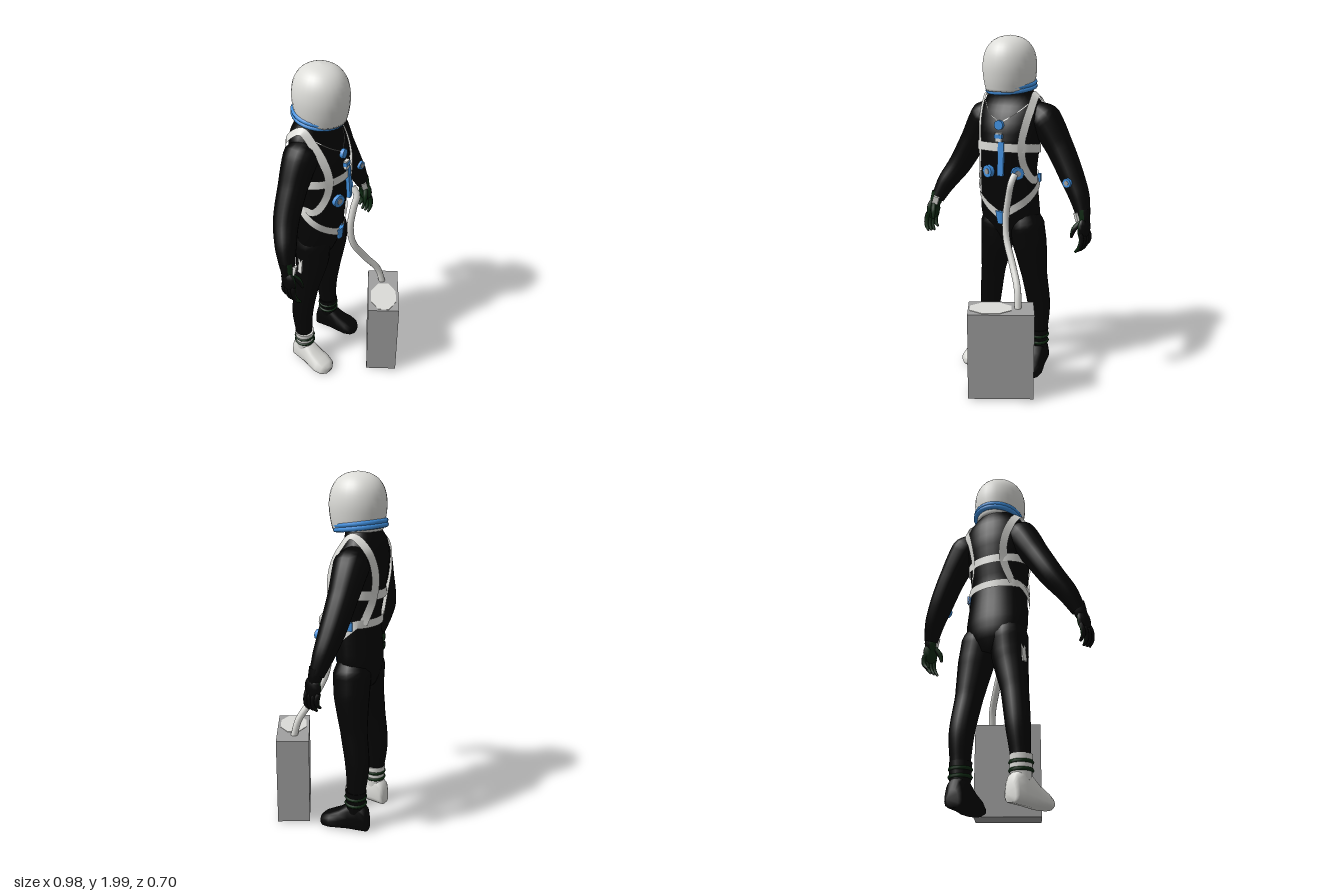
import * as THREE from 'three';
import { mergeGeometries, mergeVertices } from 'three/addons/utils/BufferGeometryUtils.js';

const V = (x, y, z) => new THREE.Vector3(x, y, z);
const mat = (name, color) => {
  const m = new THREE.MeshStandardMaterial({ color, side: THREE.DoubleSide });
  m.name = name;
  return m;
};

// Closed skin over rings of equal point count
function loft(rings) {
  const n = rings[0].length, pos = [], idx = [];
  rings.forEach(r => r.forEach(p => pos.push(p.x, p.y, p.z)));
  for (let i = 0; i < rings.length - 1; i++) for (let j = 0; j < n; j++) {
    const a = i * n + j, b = i * n + (j + 1) % n;
    idx.push(a, b, b + n, a, b + n, a + n);
  }
  const top = (rings.length - 1) * n;
  for (let j = 1; j < n - 1; j++) idx.push(0, j + 1, j, top, top + j, top + j + 1);
  const g = new THREE.BufferGeometry();
  g.setAttribute('position', new THREE.Float32BufferAttribute(pos, 3));
  g.setIndex(idx);
  g.computeVertexNormals();
  return g;
}

// Tube along [x, y, z, radius] points with changing radius
function limb(pts, sides = 14, steps = 24) {
  const curve = new THREE.CatmullRomCurve3(pts.map(p => V(p[0], p[1], p[2])));
  let g = new THREE.TubeGeometry(curve, steps, 1, sides);
  const pos = g.attributes.position, v = V();
  for (let i = 0; i <= steps; i++) {
    const c = curve.getPointAt(i / steps);
    const t = curve.getUtoTmapping(i / steps) * (pts.length - 1);
    const k = Math.min(Math.floor(t), pts.length - 2);
    const r = THREE.MathUtils.lerp(pts[k][3], pts[k + 1][3], t - k);
    for (let j = 0; j <= sides; j++) {
      const id = i * (sides + 1) + j;
      v.fromBufferAttribute(pos, id).sub(c).multiplyScalar(r).add(c);
      pos.setXYZ(id, v.x, v.y, v.z);
    }
  }
  g.deleteAttribute('uv');
  g.deleteAttribute('normal');
  g = mergeVertices(g, 1e-5);
  g.computeVertexNormals();
  return g;
}

// Sort triangles into two material groups by facing direction
function twoTone(geo, dir) {
  const p = geo.attributes.position, ix = geo.index.array, sets = [[], []];
  const tri = new THREE.Triangle(), n = V();
  for (let i = 0; i < ix.length; i += 3) {
    tri.setFromAttributeAndIndices(p, ix[i], ix[i + 1], ix[i + 2]);
    sets[tri.getNormal(n).dot(dir) > 0 ? 0 : 1].push(ix[i], ix[i + 1], ix[i + 2]);
  }
  geo.setIndex([...sets[0], ...sets[1]]);
  geo.addGroup(0, sets[0].length, 0);
  geo.addGroup(sets[0].length, sets[1].length, 1);
  return geo;
}

// Torso sections: y, half width, half depth, centre z
const TORSO = [
  [0.84, 0.1, 0.08, -0.01], [0.92, 0.168, 0.112, -0.01], [1.0, 0.184, 0.122, -0.005], [1.15, 0.174, 0.125, 0.01],
  [1.25, 0.167, 0.13, 0.02], [1.4, 0.18, 0.15, 0.015], [1.5, 0.195, 0.147, 0], [1.58, 0.195, 0.13, -0.015],
  [1.64, 0.172, 0.108, -0.03], [1.69, 0.13, 0.095, -0.02], [1.74, 0.1, 0.09, 0],
];
function section(y) {
  let k = 0;
  while (k < TORSO.length - 2 && y > TORSO[k + 1][0]) k++;
  const t = (y - TORSO[k][0]) / (TORSO[k + 1][0] - TORSO[k][0]);
  return TORSO[k].map((v, i) => THREE.MathUtils.lerp(v, TORSO[k + 1][i], t));
}
function onTorso(a, y, off = 0) {
  const [, rx, rz, cz] = section(y);
  return V((rx + off) * Math.sin(a), y, cz + (rz + off) * Math.cos(a));
}

// Flat strap lying on the torso
function ribbon(pts, width, closed = false) {
  const curve = new THREE.CatmullRomCurve3(pts, closed), n = 60, pos = [], idx = [];
  for (let i = 0; i <= n; i++) {
    const p = curve.getPoint(i / n), t = curve.getTangent(i / n);
    const out = p.clone().sub(V(0, Math.min(p.y, 1.45), 0)).normalize();
    const side = out.cross(t).normalize().multiplyScalar(width / 2);
    pos.push(...p.clone().add(side).toArray(), ...p.clone().sub(side).toArray());
    if (i < n) idx.push(2 * i, 2 * i + 1, 2 * i + 2, 2 * i + 1, 2 * i + 3, 2 * i + 2);
  }
  const g = new THREE.BufferGeometry();
  g.setAttribute('position', new THREE.Float32BufferAttribute(pos, 3));
  g.setIndex(idx.reverse());
  g.computeVertexNormals();
  return g;
}

export function createModel() {
  const black = mat('suit black', 0x040404), white = mat('off white', 0xdcdcd8), blue = mat('fitting blue', 0x3f8fde);
  const green = mat('dark green', 0x0c2810), grey = mat('case grey', 0xa0a0a0);
  const model = new THREE.Group();
  const add = (name, geo, m, parent = model, at = null) => {
    const mesh = new THREE.Mesh(geo, m);
    mesh.name = name;
    if (at) mesh.position.set(...at);
    parent.add(mesh);
    return mesh;
  };

  // Torso and harness, turned slightly toward the left
  const body = new THREE.Group();
  body.name = 'torso';
  body.position.set(-0.02, 0, -0.16);
  body.rotation.y = 0.28;
  model.add(body);
  const angles = Array.from({ length: 28 }, (_, i) => i / 28 * Math.PI * 2);
  const rings = Array.from({ length: 31 }, (_, i) => 0.84 + 0.03 * i);
  add('suitTorso', loft(rings.map(y => angles.map(a => onTorso(a, y)))), black, body);
  add('chestStrap', ribbon(angles.map(a => onTorso(a, 1.385 + 0.015 * Math.cos(a), 0.008)), 0.05, true), white, body);
  add('hipStrap', ribbon(angles.map(a =>
    onTorso(a, 0.995 + 0.225 * Math.min(1, Math.min(a, Math.PI * 2 - a) / 2), 0.01)), 0.046, true), white, body);
  for (const s of [-1, 1]) {
    const path = [[1.85, 1.21, 0.01], [1.25, 1.21, 0.01], [0.85, 1.3, 0.01], [0.73, 1.42, 0.01], [0.76, 1.53, 0.01],
      [0.92, 1.62, 0.012], [1.5, 1.685, 0.022], [2.2, 1.62, 0.014], [2.55, 1.5, 0.01], [2.6, 1.36, 0.01], [2.3, 1.22, 0.01]];
    add('shoulderStrap', ribbon(path.map(([a, y, o]) => onTorso(s * a, y, o)), 0.046), white, body);
    add('neckCord', ribbon([[0, 1.53], [0.4, 1.58], [0.9, 1.64]].map(([a, y]) => onTorso(s * a, y, 0.008)), 0.005), white, body);
  }

  // Chest and flank fittings
  const fit = (name, geo, m, a, y, off) => {
    const mesh = add(name, geo, m, body);
    mesh.position.copy(onTorso(a, y, off));
    mesh.rotation.y = a;
    return mesh;
  };
  const disc = (r, h) => new THREE.CylinderGeometry(r, r, h, 8).rotateX(Math.PI / 2);
  for (const a of [-0.37, 0.65]) {
    fit('hoseSocket', disc(0.037, 0.026), blue, a, 1.255, 0.01);
    fit('socketCentre', disc(0.017, 0.034), grey, a, 1.255, 0.01);
  }
  fit('flankBuckle', new THREE.BoxGeometry(0.03, 0.045, 0.02), blue, 1.8, 1.21, 0.012);
  fit('zipPull', new THREE.BoxGeometry(0.034, 0.19, 0.02), blue, 0.12, 1.335, 0.012).rotation.x = -0.06;
  fit('medallion', disc(0.028, 0.02), blue, 0, 1.52, 0.01);
  fit('pendantClip', new THREE.BoxGeometry(0.036, 0.05, 0.018), white, 0.03, 1.455, 0.01);
  fit('pendantBar', new THREE.BoxGeometry(0.044, 0.022, 0.022), blue, 0.03, 1.46, 0.012);
  fit('crotchBuckle', new THREE.CylinderGeometry(0.04, 0.026, 0.074, 6).scale(1, 1, 0.5), blue, 0.03, 0.985, 0.01);

  // Helmet and neck ring
  const profile = [[0.128, 1.7], [0.141, 1.76], [0.147, 1.835], [0.136, 1.905], [0.106, 1.957], [0.06, 1.988], [0, 2]];
  const dome = new THREE.SplineCurve(profile.map(p => new THREE.Vector2(...p))).getPoints(20);
  const helmet = add('helmet', new THREE.LatheGeometry([new THREE.Vector2(0, 1.7), ...dome], 28), white, model, [-0.014, 0, -0.143]);
  helmet.scale.z = 1.08;
  const collar = new THREE.Group();
  collar.name = 'neckRing';
  collar.position.set(-0.016, 1.724, -0.16);
  collar.rotation.x = 0.14;
  model.add(collar);
  for (const y of [-0.011, 0.011]) {
    add('ringBand', new THREE.TorusGeometry(0.131, 0.014, 8, 28).rotateX(Math.PI / 2).scale(1, 1, 1.04), blue, collar, [0, y, 0]);
  }

  // Arms and gloves
  const arms = {
    right: [[-0.1, 1.61, -0.14, 0.04], [-0.175, 1.545, -0.13, 0.098], [-0.265, 1.4, -0.11, 0.08], [-0.355, 1.24, -0.075, 0.07],
      [-0.415, 1.13, -0.02, 0.058], [-0.45, 1.03, 0.025, 0.04]],
    left: [[0.08, 1.61, -0.22, 0.04], [0.155, 1.545, -0.243, 0.098], [0.25, 1.4, -0.265, 0.08], [0.34, 1.24, -0.272, 0.07],
      [0.4, 1.13, -0.268, 0.058], [0.44, 1.03, -0.255, 0.04]],
  };
  for (const [side, s, swing] of [['right', -1, -0.15], ['left', 1, 0]]) {
    add(side + 'Arm', limb(arms[side], 16, 30), black);
    const parts = [limb([[0, 0.04, 0, 0.038], [s * 0.008, -0.02, 0.005, 0.036], [s * 0.012, -0.09, 0.012, 0.014]], 10, 8)];
    parts.push(mergeVertices(new THREE.SphereGeometry(1, 12, 8).deleteAttribute('uv').scale(0.028, 0.064, 0.05).translate(s * 0.016, -0.065, 0.012)));
    for (let f = 0; f < 4; f++) {
      const z = -0.026 + f * 0.025, l = f === 0 ? 0.055 : 0.078;
      parts.push(limb([[s * 0.018, -0.09, z, 0.014], [s * 0.028, -0.12, z, 0.014],
        [s * 0.02, -0.12 - l * 0.6, z + 0.006, 0.013], [-s * 0.006, -0.12 - l, z + 0.008, 0.007]], 8, 8));
    }
    parts.push(limb([[0, -0.03, 0.028, 0.015], [-s * 0.024, -0.07, 0.05, 0.016], [-s * 0.038, -0.12, 0.056, 0.008]], 8, 8));
    parts.forEach(g => g.computeVertexNormals());
    const wrist = arms[side][5];
    const glove = twoTone(mergeGeometries(parts), V(-s, 0, 0.35));
    add(side + 'Glove', glove, [green, black], model, wrist.slice(0, 3)).rotation.x = swing;
    const tag = add(side + 'CuffTag', new THREE.BoxGeometry(0.035, 0.05, 0.02), white, model,
      [wrist[0] - s * 0.018, wrist[1] - 0.003, wrist[2] + 0.032]);
    tag.rotation.set(0.2, -s * 0.5, s * 0.4);
  }
  const gauge = add('wristGauge', disc(0.027, 0.025), blue, model, [0.362, 1.215, -0.203]);
  gauge.rotation.y = 0.1;
  add('gaugeFace', disc(0.014, 0.03), grey, gauge);

  // Legs, ankle bands and boots
  const legs = {
    right: [[-0.095, 1.02, -0.15, 0.07], [-0.1, 0.93, -0.15, 0.106], [-0.108, 0.8, -0.148, 0.1], [-0.153, 0.6, -0.16, 0.074],
      [-0.185, 0.4, -0.17, 0.065], [-0.192, 0.25, -0.16, 0.052], [-0.192, 0.14, -0.155, 0.048]],
    left: [[0.07, 1.02, -0.18, 0.07], [0.08, 0.93, -0.19, 0.108], [0.1, 0.8, -0.205, 0.1], [0.115, 0.6, -0.235, 0.076],
      [0.125, 0.4, -0.27, 0.068], [0.13, 0.25, -0.268, 0.054], [0.13, 0.14, -0.265, 0.048]],
  };
  const stations = [[-0.078, 0.032, 0.09], [-0.066, 0.048, 0.14], [-0.02, 0.055, 0.18], [0.035, 0.057, 0.16], [0.09, 0.064, 0.115],
    [0.145, 0.07, 0.085], [0.185, 0.06, 0.065], [0.207, 0.03, 0.045]];
  const soft = v => Math.sign(v) * Math.pow(Math.abs(v), 0.7);
  const bootGeo = loft(stations.map(([z, w, h]) => Array.from({ length: 16 }, (_, i) => {
    const t = i / 16 * Math.PI * 2, up = soft(Math.sin(t));
    return V(w * soft(Math.cos(t)) * (1 - 0.18 * up), 0.007 + h / 2 * (1 + up), z);
  })));
  for (const [side, m, turn] of [['right', white, 0.05], ['left', black, 0.36]]) {
    add(side + 'Leg', limb(legs[side], 16, 36), black);
    const boot = new THREE.Group(), ankle = legs[side][6];
    boot.name = side + 'Boot';
    boot.position.set(ankle[0], 0, ankle[2]);
    boot.rotation.y = turn;
    model.add(boot);
    add('foot', bootGeo, m, boot);
    add('ankleCuff', new THREE.CylinderGeometry(0.06, 0.053, 0.13, 16), m, boot, [0, 0.185, 0]);
    for (const y of [0.172, 0.212]) {
      add('ankleBand', new THREE.TorusGeometry(0.055, 0.01, 6, 18).rotateX(Math.PI / 2), green, boot, [0, y, 0]);
    }
  }
  add('thighTag', new THREE.BoxGeometry(0.008, 0.1, 0.03), white, model, [-0.206, 0.8, -0.148]).rotation.z = -0.15;

  // Carried air unit with hose
  const unit = new THREE.Group();
  unit.name = 'airUnit';
  unit.position.set(0.198, 0, 0.156);
  unit.rotation.y = 0.735;
  model.add(unit);
  add('case', new THREE.BoxGeometry(0.368, 0.512, 0.186), grey, unit, [0, 0.278, 0]);
  add('topPlate', new THREE.CylinderGeometry(1, 1, 0.004, 8).rotateY(Math.PI / 8).scale(0.125, 1, 0.082), white, unit, [-0.058, 0.535, 0.001]);
  add('hose', limb([[0.265, 0.52, 0.09, 0.02], [0.242, 0.63, 0.068, 0.02], [0.165, 0.75, 0.025, 0.02], [0.092, 0.88, -0.005, 0.02],
    [0.077, 1.0, -0.015, 0.02], [0.1, 1.13, -0.012, 0.02], [0.122, 1.21, -0.008, 0.02], [0.118, 1.25, -0.04, 0.02]], 10, 36), white);
  return model;
}
